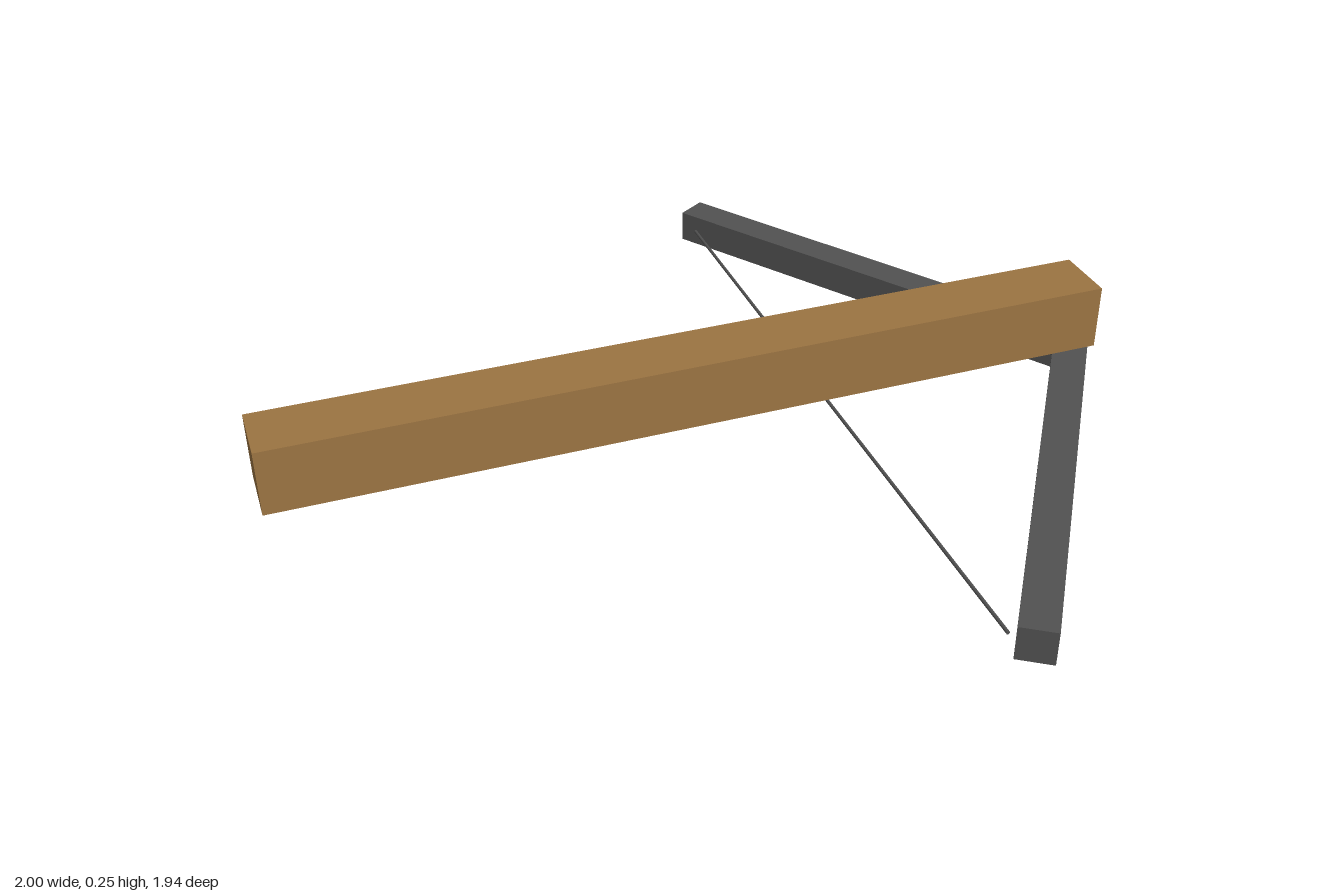
import * as THREE from 'three';

const WOOD = new THREE.MeshStandardMaterial({ color: 0x9b7442 });
const METAL = new THREE.MeshStandardMaterial({ color: 0x525252 });
const CORD = new THREE.MeshStandardMaterial({ color: 0x525252 });

function add(group, name, geometry, material, x, y, z) {
  const mesh = new THREE.Mesh(geometry, material);
  mesh.name = name;
  mesh.position.set(x, y, z);
  group.add(mesh);
  return mesh;
}

// Square bar lying flat, running from its outer tip to the joint at the nose
function addLimb(group, name, y, [x0, z0], [x1, z1]) {
  const length = Math.hypot(x1 - x0, z1 - z0);
  const limb = add(group, name, new THREE.BoxGeometry(length, 0.08, 0.08), METAL,
    (x0 + x1) / 2, y, (z0 + z1) / 2);
  limb.rotation.y = -Math.atan2(z1 - z0, x1 - x0);
}

export function createModel() {
  const model = new THREE.Group();
  model.name = 'crossbow';

  // Long wooden beam
  add(model, 'stock', new THREE.BoxGeometry(1.95, 0.155, 0.15), WOOD, -0.025, 0.1685, 0.01);

  // Swept-back limbs, overlapping under the nose at slightly different heights
  addLimb(model, 'frontLimb', 0.05, [0.317, 0.943], [0.962, -0.032]);
  addLimb(model, 'backLimb', 0.04, [0.302, -0.948], [0.947, 0.027]);

  // Thin string between the limb tips
  const string = add(model, 'string', new THREE.CylinderGeometry(0.004, 0.004, 1.755, 8), CORD,
    0.285, 0.05, 0.0125);
  string.rotation.x = Math.PI / 2;

  return model;
}
